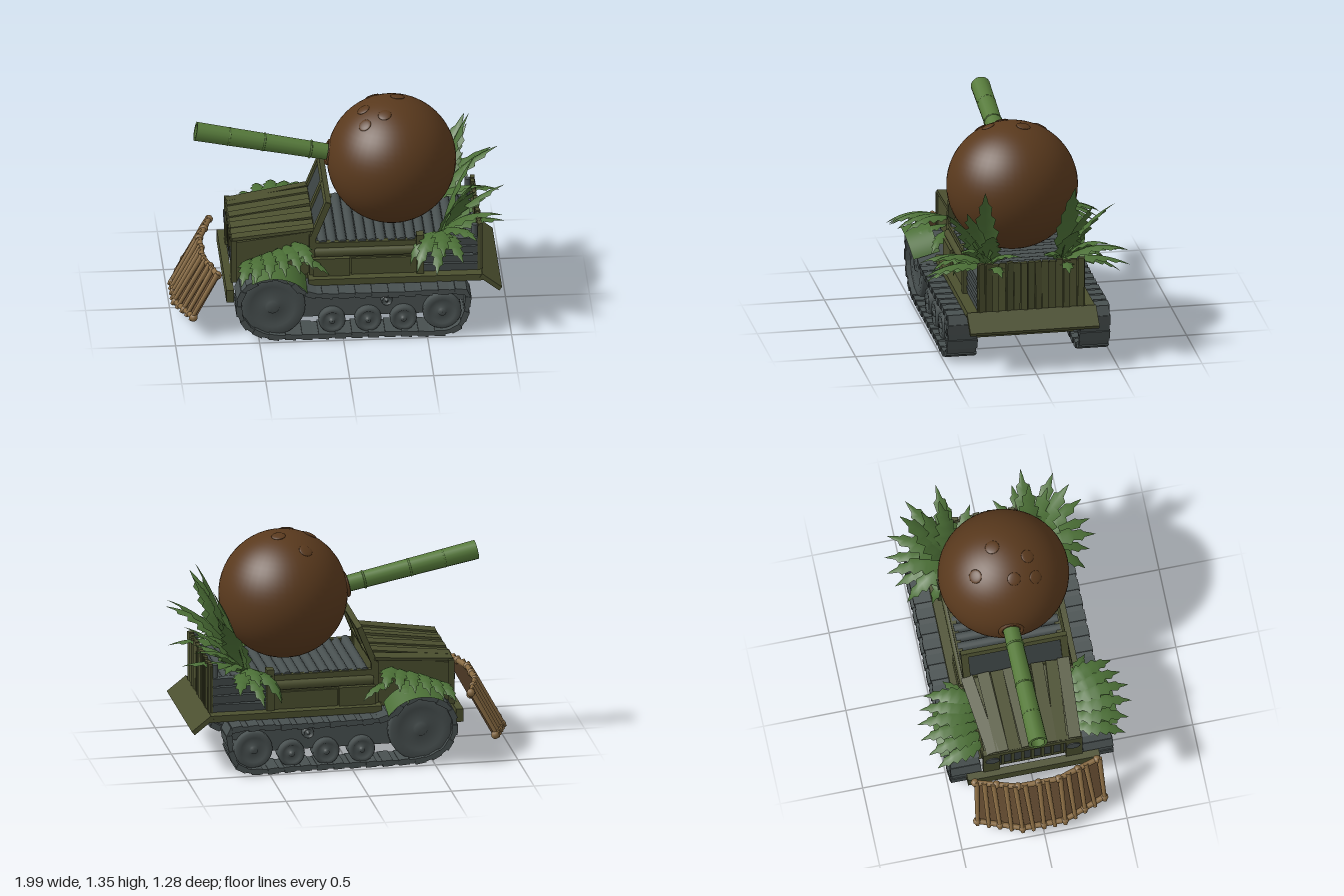
import * as THREE from 'three';

const mat = (name, color, side = THREE.FrontSide) => {
  const m = new THREE.MeshStandardMaterial({ color, side });
  m.name = name;
  return m;
};
const V = (x, y, z) => new THREE.Vector3(x, y, z);
const UP = V(0, 1, 0), RAD = Math.PI / 180;

export function createModel() {
  const root = new THREE.Group();
  root.name = 'coconutHalfTrack';
  const olive = mat('olivePaint', 0x4b4f2f);
  const grey = mat('darkGrey', 0x485050);
  const dark = mat('charcoal', 0x3b4242);
  const husk = mat('coconutHusk', 0x59391d);
  const bamboo = mat('bambooGreen', 0x567a3a, THREE.DoubleSide);
  const leafMat = mat('leafGreen', 0x4b6f36, THREE.DoubleSide);
  const tan = mat('tanWood', 0x876a42);
  const wood = mat('brownWood', 0x624a30, THREE.DoubleSide);

  let seed = 7;
  const rnd = () => (seed = (seed * 16807) % 2147483647) / 2147483647 - 0.5;

  const group = (name) => {
    const g = new THREE.Group();
    g.name = name;
    root.add(g);
    return g;
  };
  const add = (name, geo, m, x = 0, y = 0, z = 0, parent = root) => {
    const mesh = new THREE.Mesh(geo, m);
    mesh.name = name;
    mesh.position.set(x, y, z);
    parent.add(mesh);
    return mesh;
  };
  // box given by its limits on each axis
  const box = (name, m, x0, x1, y0, y1, z0, z1, parent) =>
    add(name, new THREE.BoxGeometry(x1 - x0, y1 - y0, Math.abs(z1 - z0)), m, (x0 + x1) / 2, (y0 + y1) / 2, (z0 + z1) / 2, parent);
  // round rod between two points
  const rod = (name, m, a, b, r, parent, r2 = r, open = false) => {
    const d = b.clone().sub(a);
    const mesh = add(name, new THREE.CylinderGeometry(r2, r, d.length(), 14, 1, open), m, 0, 0, 0, parent);
    mesh.position.copy(a).add(b).multiplyScalar(0.5);
    mesh.quaternion.setFromUnitVectors(UP, d.normalize());
    return mesh;
  };
  // side profile extruded across the vehicle
  const profile = (name, m, pts, halfWidth) => {
    const s = new THREE.Shape(pts.map((p) => new THREE.Vector2(p[0], p[1])));
    return add(name, new THREE.ExtrudeGeometry(s, { depth: halfWidth * 2, bevelEnabled: false }), m, 0, 0, -halfWidth);
  };

  // hull and hood
  profile('hull', olive, [[-0.58, 0.34], [-0.5, 0.11], [0.62, 0.11], [0.69, 0.33]], 0.295);
  profile('hoodBody', olive, [[-0.63, 0.3], [-0.16, 0.3], [-0.16, 0.62], [-0.63, 0.56]], 0.29);
  const hood = group('hoodPlanks');
  for (let i = 0; i < 8; i++) {
    const p = add('hoodPlank', new THREE.BoxGeometry(0.49, 0.02, 0.074), olive, -0.405, 0.602 + (i % 2) * 0.009, -0.27 + i * 0.077, hood);
    p.rotation.set(rnd() * 0.3, (3.5 - i) * 0.022 + rnd() * 0.08, 0.13);
  }
  box('grille', dark, -0.638, -0.63, 0.36, 0.53, -0.2, 0.2);
  for (let i = 0; i < 7; i++) box('grilleBar', olive, -0.65, -0.63, 0.36, 0.53, -0.19 + i * 0.06, -0.17 + i * 0.06);
  for (const s of [-1, 1]) {
    box('grilleSide', olive, -0.655, -0.62, 0.3, 0.565, s * 0.2, s * 0.3);
    rod('headlight', grey, V(-0.63, 0.47, s * 0.245), V(-0.66, 0.47, s * 0.245), 0.042);
  }
  box('grilleTop', olive, -0.655, -0.62, 0.53, 0.575, -0.3, 0.3);
  box('frontBumper', olive, -0.69, -0.645, 0.22, 0.3, -0.4, 0.4);

  // windshield with two panes
  const shield = group('windshield');
  shield.position.set(-0.17, 0.585, 0);
  shield.rotation.z = -0.38;
  for (const z of [-0.3, 0, 0.3]) box('frameUpright', olive, -0.018, 0.018, 0, 0.25, z - 0.022, z + 0.022, shield);
  for (const y of [0.01, 0.222]) box('frameRail', olive, -0.017, 0.017, y, y + 0.032, -0.32, 0.32, shield);
  for (const s of [-1, 1]) box('windowPane', dark, -0.004, 0.004, 0.03, 0.23, s * 0.02, s * 0.29, shield);

  // cargo bed of logs and planks
  box('bedCore', grey, -0.14, 0.81, 0.33, 0.53, -0.29, 0.29);
  const bed = group('bedLogs');
  for (let i = 0; i < 16; i++) {
    const x = -0.11 + i * 0.0585, y = 0.535 + rnd() * 0.014;
    rod('bedLog', grey, V(x, y, -0.31), V(x, y, 0.31), 0.029, bed);
  }
  for (const s of [-1, 1]) {
    const side = group(s > 0 ? 'leftSide' : 'rightSide');
    box('sill', olive, -0.2, 0.84, 0.305, 0.345, s * 0.27, s * 0.385, side);
    box('sideWall', olive, -0.17, 0.48, 0.34, 0.53, s * 0.28, s * 0.315, side);
    box('frontPanel', olive, -0.17, 0.05, 0.34, 0.46, s * 0.3, s * 0.345, side);
    box('lowerPanel', olive, 0.06, 0.47, 0.34, 0.45, s * 0.3, s * 0.33, side);
    rod('sideLog', olive, V(-0.16, 0.49, s * 0.31), V(0.47, 0.49, s * 0.31), 0.03, side);
    box('topRail', olive, -0.17, 0.48, 0.53, 0.555, s * 0.285, s * 0.32, side);
    box('doorPost', olive, -0.19, -0.15, 0.31, 0.6, s * 0.28, s * 0.32, side);
    box('sidePost', olive, 0.445, 0.49, 0.31, 0.6, s * 0.29, s * 0.35, side);
    for (let i = 0; i < 4; i++) {
      const p = box('greySlat', grey, 0.48, 0.81, 0.348 + i * 0.055, 0.397 + i * 0.055, s * 0.29, s * 0.325, side);
      p.rotation.set(s * 0.15, 0, rnd() * 0.05);
    }
    rod('cornerPost', grey, V(0.795, 0.33, s * 0.3), V(0.795, 0.64, s * 0.3), 0.018, side);
  }
  // tailgate and rear board
  const gate = group('tailgate');
  box('gateBack', olive, 0.81, 0.824, 0.33, 0.635, -0.325, 0.325, gate);
  for (let i = 0; i < 15; i++) {
    const z = -0.301 + i * 0.043;
    const p = box('gatePlank', olive, 0.811, 0.834 + rnd() * 0.01, 0.335, 0.645 + rnd() * 0.012, z - 0.019, z + 0.019, gate);
    p.rotation.set(rnd() * 0.03, rnd() * 0.5, 0);
  }
  box('bedUnderside', wood, 0.66, 0.83, 0.3, 0.334, -0.27, 0.27);
  add('rearBoard', new THREE.BoxGeometry(0.148, 0.028, 0.78), olive, 0.885, 0.292, 0).rotation.z = -0.67;

  // tracks and wheels, one per side
  const path = new THREE.CatmullRomCurve3([
    [-0.5, 0.395], [-0.41, 0.415], [-0.32, 0.385], [-0.25, 0.32], [-0.17, 0.292], [0.05, 0.285], [0.35, 0.283], [0.62, 0.288],
    [0.73, 0.275], [0.738, 0.19], [0.7, 0.07], [0.63, 0.024], [0.3, 0.02], [0, 0.02], [-0.3, 0.02], [-0.45, 0.03],
    [-0.565, 0.09], [-0.62, 0.2], [-0.595, 0.325]].map((p) => V(p[0], p[1], 0)), true);
  const links = 64, step = path.getLength() / links;
  const wheels = [[-0.42, 0.212, 0.196], [0.59, 0.143, 0.115], [-0.065, 0.105, 0.08], [0.15, 0.105, 0.08], [0.36, 0.105, 0.08], [0.26, 0.228, 0.035]];
  for (const s of [-1, 1]) {
    const track = group(s > 0 ? 'leftTrack' : 'rightTrack');
    track.position.z = s * 0.4;
    for (let i = 0; i < links; i++) {
      const p = path.getPointAt(i / links), t = path.getTangentAt(i / links);
      const angle = Math.atan2(t.y, t.x);
      add('trackBelt', new THREE.BoxGeometry(step * 1.25, 0.026, 0.174), grey, p.x, p.y, 0, track).rotation.z = angle;
      if (i % 2) add('trackPad', new THREE.BoxGeometry(step * 1.3, 0.036, 0.184), grey, p.x, p.y, 0, track).rotation.z = angle - 0.06;
    }
    for (const [x, y, r] of wheels) {
      // turned wheel profile with rim, dish and hub
      const half = [[0, 0.068], [r * 0.2, 0.068], [r * 0.24, 0.052], [r * 0.6, 0.052], [r * 0.68, 0.062], [r * 0.92, 0.062], [r, 0.05]];
      const pts = [...half.map((p) => [p[0], -p[1]]), ...half.reverse()].map((p) => new THREE.Vector2(p[0], p[1]));
      add('wheel', new THREE.LatheGeometry(pts, 28), grey, x, y, 0, track).rotation.x = Math.PI / 2;
    }
    box('trackFrame', grey, -0.27, 0.6, 0.12, 0.28, -s * 0.1, s * 0.02, track);
    box('trackFrameEnd', grey, 0.6, 0.725, 0.2, 0.28, -s * 0.09, s * 0.02, track);
    // green curved fender over the front wheel, dipping outward
    const fender = new THREE.CylinderGeometry(0.232, 0.232, 0.165, 20, 1, true, Math.PI - 62 * RAD, 95 * RAD);
    add('fender', fender, leafMat, -0.42, 0.232, 0.008 * s, track).rotation.x = Math.PI / 2 + s * 0.25;
  }

  // coconut turret with raised spots
  const centre = V(0.32, 0.953, 0.02), R = 0.384;
  add('coconut', new THREE.SphereGeometry(R, 48, 32), husk, centre.x, centre.y, centre.z).scale.z = 1.02;
  for (const [x, z, r] of [[0.22, -0.17, 0.042], [0.36, -0.04, 0.043], [0.15, 0.05, 0.04], [0.15, 0.18, 0.04], [0.27, 0.155, 0.04]]) {
    const dx = x - centre.x, dz = z - centre.z;
    const n = V(dx, Math.sqrt(R * R - dx * dx - dz * dz), dz).normalize();
    const p = centre.clone().addScaledVector(n, R);
    const spot = add('coconutSpot', new THREE.SphereGeometry(r, 18, 10), husk, p.x, p.y, p.z);
    spot.scale.y = 0.22;
    spot.quaternion.setFromUnitVectors(UP, n);
  }

  // hollow bamboo barrel
  const a = V(0.02, 0.978, -0.008), b = V(-0.845, 1.16, -0.008), axis = b.clone().sub(a).normalize();
  const barrel = group('bambooBarrel');
  rod('barrelTube', bamboo, a, b, 0.049, barrel, 0.058, true);
  rod('barrelBore', dark, a, b.clone().addScaledVector(axis, -0.12), 0.038, barrel);
  rod('barrelLining', bamboo, a, b, 0.036, barrel, 0.042, true);
  const lip = add('barrelLip', new THREE.RingGeometry(0.041, 0.058, 20), bamboo, b.x, b.y, b.z, barrel);
  lip.quaternion.setFromUnitVectors(V(0, 0, 1), axis);
  const ring = (name, m, t, r, tube, parent) => {
    const p = a.clone().lerp(b, t);
    add(name, new THREE.TorusGeometry(r, tube, 8, 24), m, p.x, p.y, p.z, parent).quaternion.setFromUnitVectors(V(0, 0, 1), axis);
  };
  for (const t of [0.21, 0.53, 0.77]) ring('bambooNode', bamboo, t, 0.051, 0.006, barrel);
  ring('barrelSocket', husk, 0.085, 0.066, 0.013, root);

  // curved stick barrier ahead of the hood
  const fence = group('frontBarrier');
  const rail = (bottom, k) => { // k runs -1..1 across the width
    const bend = Math.max(0, Math.abs(k) - 0.33) / 0.67;
    return bottom ? V(-0.975 + 0.09 * bend, 0.1 + 0.02 * bend, k * 0.385) : V(-0.815 + 0.075 * bend, 0.388, k * 0.37);
  };
  const knots = [-1, -0.33, 0.33, 1];
  for (let i = 0; i < 3; i++) {
    const q = [rail(0, knots[i]), rail(0, knots[i + 1]), rail(1, knots[i]), rail(1, knots[i + 1])];
    rod('topRail', tan, q[0], q[1], 0.017, fence);
    rod('bottomRail', tan, q[2], q[3], 0.017, fence);
    const g = new THREE.BufferGeometry().setFromPoints(q);
    g.setIndex([0, 1, 2, 1, 3, 2]);
    g.computeVertexNormals();
    add('backing', g, wood, 0.014, -0.004, 0, fence);
  }
  for (let i = 0; i < 13; i++) {
    const k = -1 + i / 6, t = rail(0, k), u = rail(1, k), d = t.clone().sub(u).multiplyScalar(0.06);
    t.z += rnd() * 0.04;
    const stick = rod('stick', tan, u.sub(d), t.add(d), 0.012, fence, 0.016);
    stick.position.x -= 0.01;
    if (i % 2 === 0) for (const e of [0, 1]) {
      const p = rail(e, k);
      add('lashing', new THREE.SphereGeometry(0.025, 10, 8), tan, p.x, p.y, p.z, fence);
    }
  }

  // pointed, toothed leaf swept along a drooping rib
  const leaf = (parent, base, az, el, len, droop, width) => {
    const pos = [], idx = [], teeth = 5, rows = teeth * 2 + 2, p = base.clone();
    const out = V(Math.cos(az * RAD), 0, Math.sin(az * RAD)), across = V(-out.z, 0, out.x);
    for (let i = 0; i <= rows; i++) {
      const t = i / rows, e = (el - droop * t) * RAD, tooth = i % 2 && i < rows - 1;
      const dir = out.clone().multiplyScalar(Math.cos(e)).addScaledVector(UP, Math.sin(e));
      const normal = UP.clone().multiplyScalar(Math.cos(e)).addScaledVector(out, -Math.sin(e));
      const w = width * Math.min(1, 0.25 + t * 2.4) * Math.pow(1 - t, 0.8) * (tooth ? 1.45 : 0.95);
      for (const k of [-1, 0, 1]) {
        const v = p.clone().addScaledVector(across, k * w);
        if (k) v.addScaledVector(normal, -w * 0.4).addScaledVector(dir, tooth ? len * 0.045 : 0);
        pos.push(v.x, v.y, v.z);
      }
      if (i < rows) for (const j of [0, 1]) {
        const q = i * 3 + j;
        idx.push(q, q + 1, q + 3, q + 1, q + 4, q + 3);
      }
      p.addScaledVector(dir, len / rows);
    }
    const g = new THREE.BufferGeometry();
    g.setAttribute('position', new THREE.Float32BufferAttribute(pos, 3));
    g.setIndex(idx);
    g.computeVertexNormals();
    add('leaf', g, leafMat, 0, 0, 0, parent);
  };
  // leaf rows: heading, rise, length, droop, half width
  const rearLeaves = [[12, 80, 0.57, 25, 0.085], [4, 58, 0.5, 40, 0.08], [56, 66, 0.54, 35, 0.095], [92, 36, 0.43, 70, 0.075],
    [62, 42, 0.44, 60, 0.08], [118, 28, 0.42, 100, 0.07], [-30, 45, 0.36, 50, 0.07], [-4, 32, 0.4, 55, 0.07],
    [32, 52, 0.48, 55, 0.085], [98, 10, 0.4, 60, 0.065], [140, 22, 0.34, 110, 0.06], [38, 72, 0.48, 30, 0.09], [75, 20, 0.42, 50, 0.07]];
  for (const s of [-1, 1]) {
    const rear = group(s > 0 ? 'leftRearPlant' : 'rightRearPlant');
    for (const [az, ...rest] of rearLeaves) leaf(rear, V(0.6, 0.56, s * 0.23), s * az, ...rest);
    const front = group(s > 0 ? 'leftFenderPlant' : 'rightFenderPlant');
    for (let i = 0; i < 6; i++) {
      const k = i / 2.5 - 1, bx = -0.4 + k * 0.12;
      leaf(front, V(bx, 0.5 + 0.05 * k, s * 0.28), s * (90 - k * 18), 32 - Math.abs(k) * 8, 0.4 - Math.abs(k) * 0.07, 72, 0.065);
      if (i % 2) leaf(front, V(bx, 0.47, s * 0.29), s * (90 - k * 55), 8, 0.27, 55, 0.05);
    }
  }
  return root;
}
